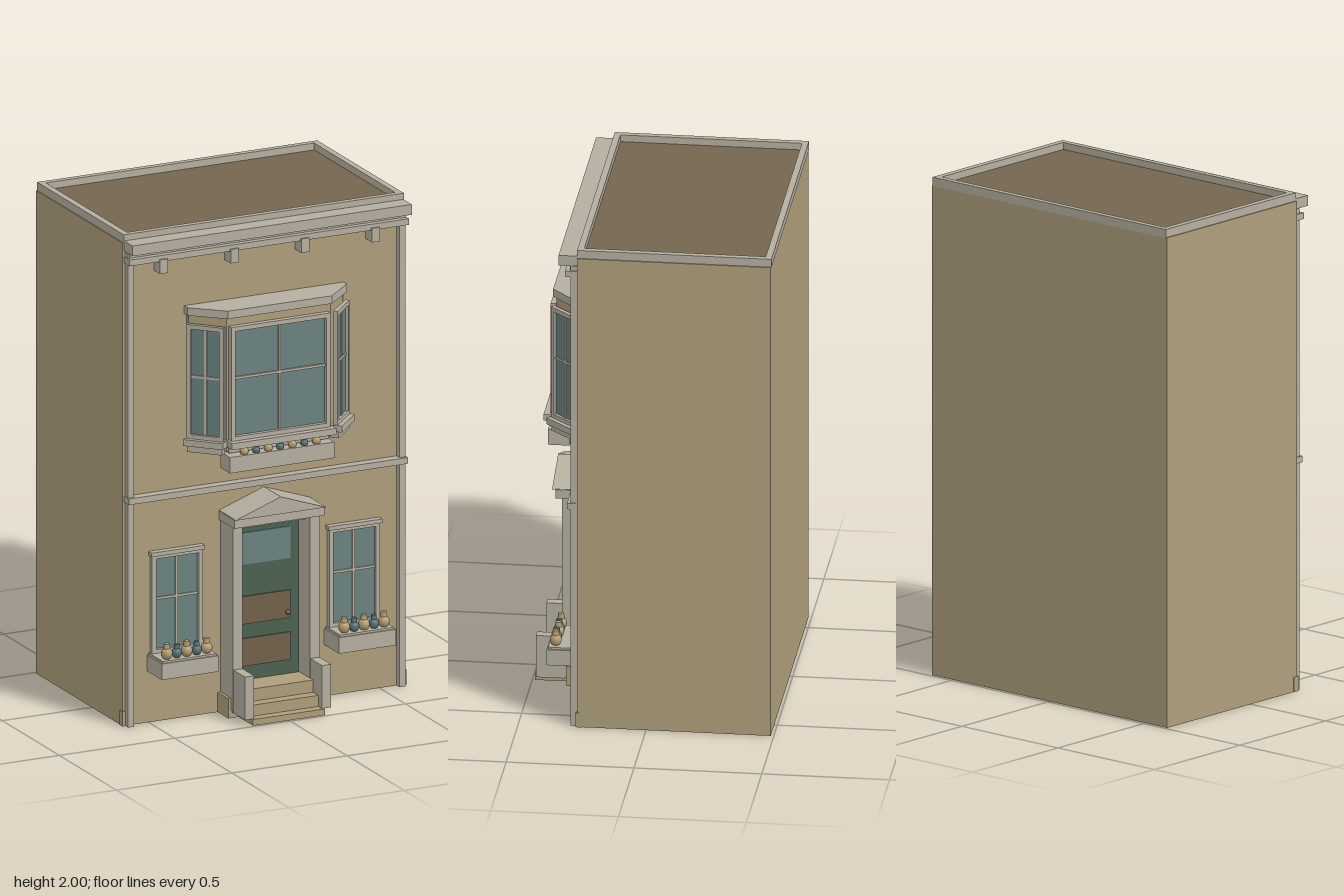
import * as THREE from 'three';

const mat = (name, color) => {
  const m = new THREE.MeshStandardMaterial({ color });
  m.name = name;
  return m;
};
const wall = mat('sandWall', 0xae9e7b);
const trim = mat('stoneTrim', 0xb5afa0);
const roofMat = mat('brownRoof', 0x73664f);
const glass = mat('windowGlass', 0x6a827f);
const green = mat('doorGreen', 0x4b6150);
const brown = mat('panelBrown', 0x72614a);
const straw = mat('strawPot', 0xb39e72);
const teal = mat('tealPot', 0x567475);

function add(parent, name, geo, material) {
  const m = new THREE.Mesh(geo, material);
  m.name = name;
  parent.add(m);
  return m;
}

// Box given by its lower and upper limits on each axis
function box(parent, name, material, x0, x1, y0, y1, z0, z1) {
  const m = add(parent, name, new THREE.BoxGeometry(x1 - x0, y1 - y0, z1 - z0), material);
  m.position.set((x0 + x1) / 2, (y0 + y1) / 2, (z0 + z1) / 2);
  return m;
}

// Slab with a symmetric plan; pts list the +x half from back to front
function slab(parent, name, material, pts, y0, y1) {
  const all = [...pts, ...pts.map(([x, z]) => [-x, z]).reverse()];
  const shape = new THREE.Shape(all.map(([x, z]) => new THREE.Vector2(x, z)));
  const geo = new THREE.ExtrudeGeometry(shape, { depth: y1 - y0, bevelEnabled: false });
  geo.rotateX(Math.PI / 2).translate(0, y1, 0);
  return add(parent, name, geo, material);
}

// Framed window facing +z, centred on x = 0, with thin glazing bars
function sash(parent, name, w, y0, y1, rail, depth, cols, rows) {
  const g = new THREE.Group();
  g.name = name;
  parent.add(g);
  const a = w / 2;
  box(g, 'glass', glass, -a + rail / 2, a - rail / 2, y0 + rail / 2, y1 - rail / 2, 0, 0.006);
  for (const s of [-1, 1]) {
    const c = s * (a - rail / 2);
    box(g, 'stile', trim, c - rail / 2, c + rail / 2, y0, y1, 0, depth);
  }
  box(g, 'bottomRail', trim, -a + rail, a - rail, y0, y0 + rail, 0, depth);
  box(g, 'topRail', trim, -a + rail, a - rail, y1 - rail, y1, 0, depth);
  for (let i = 1; i < cols; i++) {
    const x = -a + (w * i) / cols;
    box(g, 'glazingBar', trim, x - 0.005, x + 0.005, y0 + rail, y1 - rail, 0, depth * 0.6);
  }
  for (let i = 1; i < rows; i++) {
    const y = y0 + ((y1 - y0) * i) / rows + 0.02;
    box(g, 'glazingBar', trim, -a + rail, a - rail, y - 0.005, y + 0.005, 0, depth * 0.6);
  }
  return g;
}

// Row of round planters, alternating in colour
function planters(parent, cx, y, z, count, step, first = 0, size = 1) {
  for (let i = 0; i < count; i++) {
    const x = cx + (i - (count - 1) / 2) * step;
    const m = (i + first) % 2 ? teal : straw;
    const r = (m === teal ? 0.02 : 0.023) * size;
    const ball = add(parent, 'planterBall', new THREE.SphereGeometry(r, 14, 10), m);
    ball.scale.y = 1.1;
    ball.position.set(x, y + r, z);
    const knob = add(parent, 'planterTop', new THREE.CylinderGeometry(r * 0.5, r * 0.6, 0.02 * size, 12), m);
    knob.position.set(x, y + 2.3 * r, z);
  }
}

export function createModel() {
  const house = new THREE.Group();
  house.name = 'townHouse';

  // Main block, roof and parapet
  box(house, 'mainBlock', wall, -0.612, 0.612, 0, 1.967, -0.488, 0.27);
  box(house, 'roof', roofMat, -0.582, 0.582, 1.965, 1.972, -0.467, 0.247);
  for (const s of [-1, 1]) {
    const c = s * 0.594;
    box(house, 'sideParapet', trim, c - 0.013, c + 0.013, 1.965, 2, -0.49, 0.27);
  }
  box(house, 'backParapet', trim, -0.581, 0.581, 1.965, 2, -0.49, -0.465);
  box(house, 'frontParapet', trim, -0.581, 0.581, 1.965, 2, 0.245, 0.27);

  // Cornice, bands and brackets
  box(house, 'cornice', trim, -0.605, 0.605, 1.933, 1.975, 0.265, 0.343);
  box(house, 'corniceBed', trim, -0.595, 0.595, 1.912, 1.933, 0.265, 0.3);
  box(house, 'frieze', trim, -0.605, 0.605, 1.885, 1.91, 0.265, 0.318);
  box(house, 'stringCourse', trim, -0.605, 0.605, 0.91, 0.935, 0.265, 0.31);
  for (let i = 0; i < 4; i++) {
    const x = -0.46 + i * 0.306;
    box(house, 'bracket', trim, x - 0.017, x + 0.017, 1.838, 1.895, 0.265, 0.326);
  }
  for (const s of [-1, 1]) {
    const c = s * 0.588;
    box(house, 'cornerPilaster', trim, c - 0.013, c + 0.013, 0, 1.93, 0.265, 0.297);
    box(house, 'wallFoot', wall, s * 0.607 - 0.008, s * 0.607 + 0.008, 0, 0.06, 0.25, 0.275);
  }

  // Bay window: canted body, cap, sashes and sills
  const bay = new THREE.Group();
  bay.name = 'bayWindow';
  house.add(bay);
  slab(bay, 'bayBody', wall, [[0.335, 0.26], [0.335, 0.285], [0.225, 0.397]], 1.1, 1.645);
  slab(bay, 'bayCap', trim, [[0.345, 0.26], [0.345, 0.3], [0.225, 0.41]], 1.643, 1.675);
  sash(bay, 'bayFrontSash', 0.43, 1.145, 1.61, 0.018, 0.024, 2, 2).position.z = 0.397;
  box(bay, 'frontSill', trim, -0.226, 0.226, 1.12, 1.146, 0.36, 0.448);
  box(bay, 'frontLowerSill', trim, -0.215, 0.215, 1.092, 1.12, 0.34, 0.4);
  for (const s of [-1, 1]) {
    const side = sash(bay, 'baySideSash', 0.155, 1.145, 1.61, 0.018, 0.018, 2, 2);
    box(side, 'sideSill', trim, -0.082, 0.082, 1.12, 1.146, -0.02, 0.037);
    box(side, 'sideLowerSill', trim, -0.072, 0.072, 1.092, 1.12, -0.02, 0.02);
    side.position.set(s * 0.288, 0, 0.348);
    side.rotation.y = s * 0.808;
  }
  box(bay, 'bayFlowerBox', trim, -0.226, 0.226, 1.02, 1.085, 0.345, 0.43);
  planters(bay, 0, 1.08, 0.413, 7, 0.052, 0, 0.75);

  // Ground floor windows with flower boxes
  for (const s of [-1, 1]) {
    const x = s * 0.384;
    sash(house, 'lowerSash', 0.22, 0.28, 0.685, 0.018, 0.02, 2, 2).position.set(x, 0, 0.27);
    box(house, 'windowHead', trim, x - 0.116, x + 0.116, 0.68, 0.696, 0.265, 0.298);
    box(house, 'flowerBox', trim, x - 0.123, x + 0.123, 0.21, 0.275, 0.265, 0.402);
    box(house, 'flowerBoxRim', trim, x - 0.116, x + 0.116, 0.27, 0.283, 0.265, 0.397);
    planters(house, x, 0.282, 0.37, 5, 0.043);
  }

  // Door with glass light, panels and knob
  const door = new THREE.Group();
  door.name = 'entrance';
  house.add(door);
  box(door, 'doorLeaf', green, -0.142, 0.142, 0.12, 0.76, 0.265, 0.285);
  box(door, 'doorGlass', glass, -0.105, 0.105, 0.59, 0.72, 0.285, 0.289);
  for (const y of [0.177, 0.348]) {
    box(door, 'doorPanel', brown, -0.105, 0.105, y, y + 0.113, 0.285, 0.291);
  }
  const knob = add(door, 'doorKnob', new THREE.SphereGeometry(0.01, 12, 8), brown);
  knob.position.set(0.09, 0.375, 0.299);

  // Door surround, pediment and stoop
  for (const s of [-1, 1]) {
    const c = s * 0.167;
    box(door, 'doorPilaster', trim, c - 0.021, c + 0.021, 0.03, 0.785, 0.265, 0.38);
    box(door, 'pilasterFoot', wall, s * 0.17 - 0.03, s * 0.17 + 0.03, 0, 0.08, 0.265, 0.363);
    box(door, 'stoopCheek', trim, c - 0.02, c + 0.02, 0.025, 0.2, 0.37, 0.482);
  }
  box(door, 'doorHead', trim, -0.147, 0.147, 0.757, 0.785, 0.265, 0.34);
  box(door, 'lintel', trim, -0.195, 0.195, 0.783, 0.822, 0.265, 0.405);
  const gable = new THREE.Shape([[-0.197, 0.82], [0.197, 0.82], [0, 0.89]].map(p => new THREE.Vector2(...p)));
  add(door, 'pediment', new THREE.ExtrudeGeometry(gable, { depth: 0.15, bevelEnabled: false }), trim)
    .position.z = 0.268;
  [[0.025, 0.49], [0.07, 0.45], [0.12, 0.405]].forEach(([y, z], i) => {
    const w = i ? 0.147 : 0.155;
    box(door, 'step', wall, -w, w, i ? 0.02 : 0, y, 0.265, z);
  });
  return house;
}
